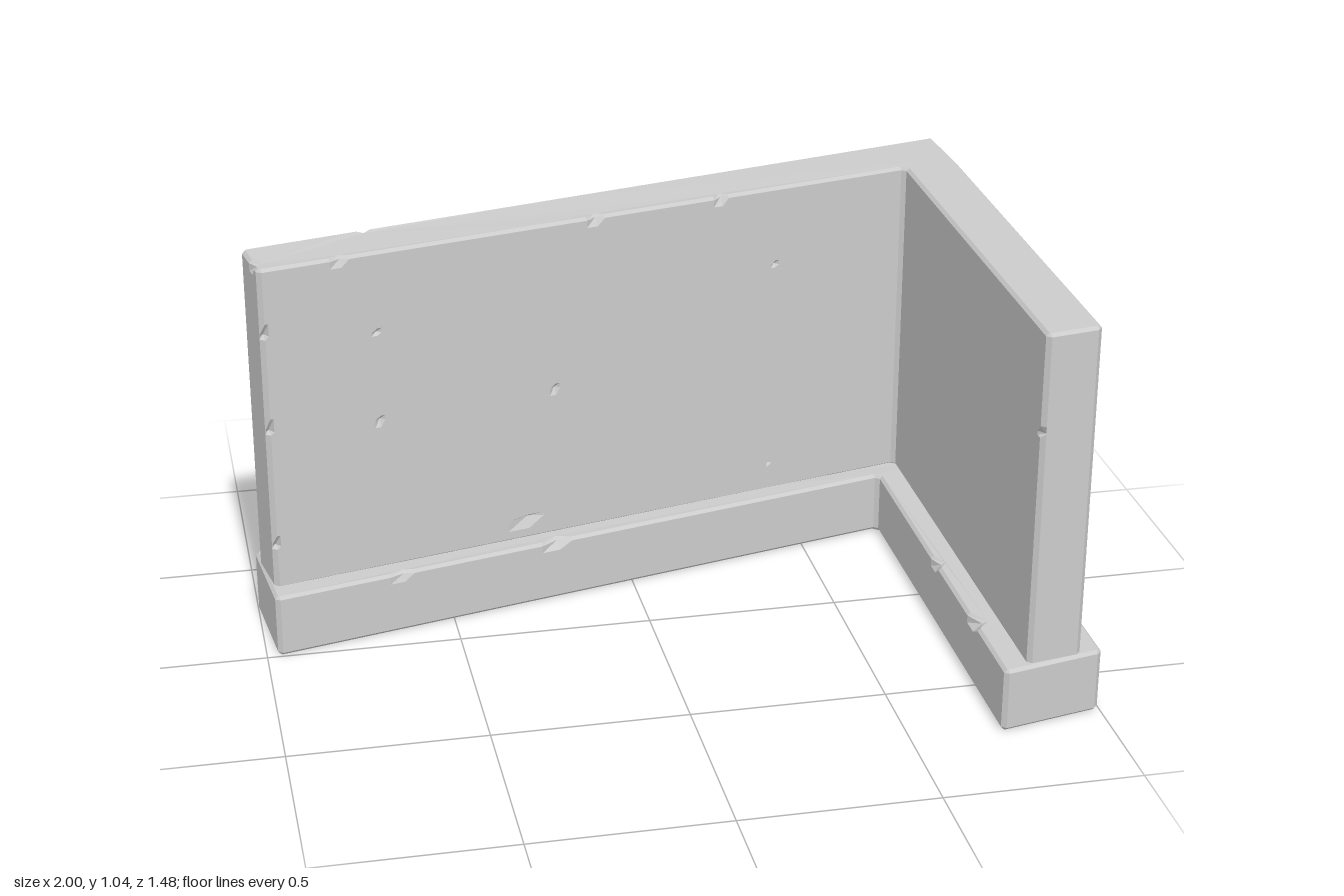
import * as THREE from 'three';

const TOP = 9; // chip height meaning "on the upper edge"

// Prism over a plan outline [x, z] with chamfered edges.
// Each chip is [edge, position 0..1, y, half width, half height, depth].
function chippedBlock(name, outline, y0, y1, bevel, chips) {
  const key = (v) => Math.round(v * 1e4) / 1e4;
  const corner = bevel * 1.5;

  // Columns around the outline, with extra ones at every chip
  const columns = [];
  outline.forEach((p, edge) => {
    const a = new THREE.Vector2(...p);
    const b = new THREE.Vector2(...outline[(edge + 1) % outline.length]);
    const length = a.distanceTo(b);
    const dir = b.clone().sub(a).normalize();
    const normal = new THREE.Vector2(-dir.y, dir.x);
    const clamp = (t) => key(Math.min(Math.max(t, corner), length - corner));
    const stops = new Map([[clamp(0), []], [clamp(length), []]]);
    const add = (t) => {
      const k = clamp(t);
      if (!stops.has(k)) stops.set(k, []);
      return stops.get(k);
    };
    for (const chip of chips.filter((c) => c[0] === edge)) {
      const t = chip[1] * length;
      add(t - chip[3]);
      add(t + chip[3] * 0.7);
      add(t).push(chip);
    }
    for (const t of [...stops.keys()].sort((m, n) => m - n)) {
      columns.push({ pos: a.clone().addScaledVector(dir, t), normal, chips: stops.get(t) });
    }
  });

  // Rows from bottom to top, the first and last inset by the bevel
  const low = key(y0 + bevel), high = key(y1 - bevel);
  const levels = new Set([low, high]);
  for (const c of chips) {
    const heights = c[2] === TOP ? [high - c[4]] : [c[2] - c[4], c[2], c[2] + c[4] * 0.6];
    heights.forEach((y) => levels.add(key(Math.min(Math.max(y, low), high))));
  }
  const sorted = [...levels].sort((m, n) => m - n);
  const rows = [y0, ...sorted, y1];
  const last = rows.length - 1;

  const positions = [];
  rows.forEach((rowY, r) => {
    for (const col of columns) {
      let inset = r === 0 || r === last ? bevel : 0;
      let y = rowY;
      for (const [, , chipY, , , depth] of col.chips) {
        if (chipY === TOP && r === last) {
          inset += depth;
          y -= bevel * 0.3;
        } else if (chipY === TOP && r === last - 1) inset += depth * 0.8;
        else if (key(chipY) === rowY) inset += depth;
      }
      positions.push(col.pos.x - col.normal.x * inset, y, col.pos.y - col.normal.y * inset);
    }
  });

  // Sides
  const n = columns.length, index = [];
  for (let r = 0; r < last; r++) {
    for (let c = 0; c < n; c++) {
      const a = r * n + c, b = r * n + ((c + 1) % n);
      index.push(a, b, b + n, a, b + n, a + n);
    }
  }
  // Caps
  const cap = (r) => {
    const ring = columns.map((_, c) => {
      const i = (r * n + c) * 3;
      return new THREE.Vector2(positions[i], -positions[i + 2]);
    });
    return THREE.ShapeUtils.triangulateShape(ring, []);
  };
  cap(last).forEach(([a, b, c]) => index.push(last * n + a, last * n + b, last * n + c));
  cap(0).forEach(([a, b, c]) => index.push(a, c, b));

  const indexed = new THREE.BufferGeometry();
  indexed.setAttribute('position', new THREE.Float32BufferAttribute(positions, 3));
  indexed.setIndex(index);
  const geometry = indexed.toNonIndexed();
  geometry.computeVertexNormals();
  const mesh = new THREE.Mesh(geometry, new THREE.MeshStandardMaterial({ color: 0xcccccc, flatShading: true }));
  mesh.name = name;
  return mesh;
}

export function createModel() {
  const model = new THREE.Group();
  model.name = 'cornerWall';

  // Edges: 0 left end, 1 inner long, 2 inner short, 3 front end, 4 outer side, 5 corner, 6 back
  const plinth = [[-1, -0.28], [-0.97, 0], [0.73, -0.4], [0.73, 0.737], [0.997, 0.68], [0.997, -0.49], [0.955, -0.745]];
  const wall = [[-0.992, -0.22], [-0.965, -0.065], [0.795, -0.475], [0.795, 0.71], [0.94, 0.685], [0.943, -0.5], [0.935, -0.695]];

  model.add(chippedBlock('plinth', plinth, 0, 0.168, 0.008, [
    [1, 0.45, TOP, 0.05, 0.03, 0.025],
    [1, 0.2, TOP, 0.04, 0.02, 0.012],
    [2, 0.48, TOP, 0.04, 0.03, 0.018],
    [2, 0.77, TOP, 0.05, 0.04, 0.03],
    [4, 0.18, TOP, 0.05, 0.05, 0.03],
    [4, 0.42, TOP, 0.04, 0.02, 0.015],
    [4, 0.98, TOP, 0.06, 0.07, 0.03],
    [6, 0.34, TOP, 0.05, 0.03, 0.02],
    [6, 0.6, TOP, 0.012, 0.12, 0.012],
    [6, 0.82, TOP, 0.05, 0.04, 0.025],
  ]));

  model.add(chippedBlock('wall', wall, 0.16, 1.037, 0.008, [
    // Broken upper edges
    [1, 0.12, TOP, 0.03, 0.03, 0.015],
    [1, 0.503, TOP, 0.03, 0.04, 0.02],
    [1, 0.7, TOP, 0.025, 0.05, 0.02],
    [0, 0.7, TOP, 0.03, 0.03, 0.015],
    [6, 0.84, TOP, 0.05, 0.02, 0.012],
    // Broken upright edges
    [1, 0, 0.6, 0.03, 0.06, 0.02],
    [1, 0, 0.28, 0.03, 0.05, 0.02],
    [1, 0, 0.86, 0.04, 0.08, 0.02],
    [2, 1, 0.78, 0.03, 0.05, 0.015],
    // Pits and scratches on the inner long face
    [1, 0.168, 0.82, 0.03, 0.12, 0.012],
    [1, 0.168, 0.58, 0.016, 0.02, 0.012],
    [1, 0.435, 0.58, 0.016, 0.02, 0.012],
    [1, 0.787, 0.82, 0.016, 0.02, 0.012],
    [1, 0.39, 0.22, 0.06, 0.04, 0.015],
    [1, 0.78, 0.24, 0.1, 0.05, 0.012],
    // Pits on the outer side
    [4, 0.24, 0.82, 0.012, 0.05, 0.012],
    [4, 0.25, 0.69, 0.012, 0.02, 0.012],
    [4, 0.03, 0.37, 0.015, 0.02, 0.012],
    [4, 0.916, 0.82, 0.015, 0.02, 0.012],
    [4, 0.916, 0.26, 0.012, 0.02, 0.012],
    // Pits on the back
    [6, 0.27, 0.8, 0.016, 0.02, 0.012],
    [6, 0.27, 0.58, 0.016, 0.02, 0.012],
    [6, 0.58, 0.58, 0.016, 0.02, 0.012],
    [6, 0.58, 0.25, 0.02, 0.02, 0.012],
    [6, 0.83, 0.8, 0.05, 0.1, 0.012],
  ]));

  return model;
}
